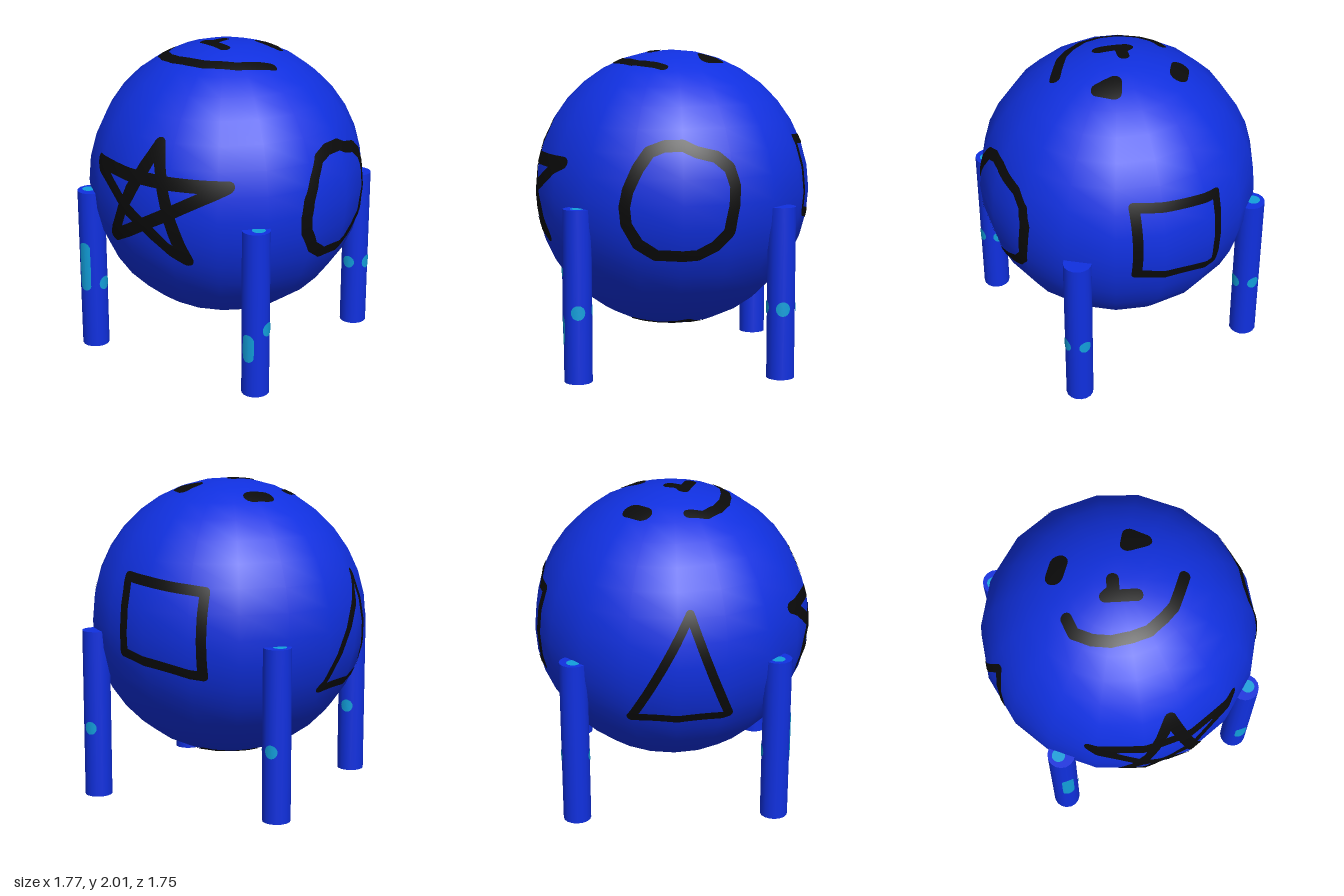
import * as THREE from 'three';
import { mergeGeometries } from 'three/addons/utils/BufferGeometryUtils.js';

const R = 0.885, CY = 1.115, SEG = 18;      // ball radius, centre height, divisions
const LEG_R = 0.087, LEG_H = 1.07, LEG_POS = 0.624;

const mat = (name, color) => {
  const m = new THREE.MeshStandardMaterial({ color });
  m.name = name;
  return m;
};

// Distance from the ball centre to its faceted surface along direction d
function surfaceDistance(d) {
  const dTheta = Math.PI / SEG, dPhi = (2 * Math.PI) / SEG;
  const i = Math.min(SEG - 1, Math.floor(Math.acos(THREE.MathUtils.clamp(d.y, -1, 1)) / dTheta));
  const mid = (Math.floor(Math.atan2(d.z, d.x) / dPhi) + 0.5) * dPhi;
  const c = R * Math.cos(dPhi / 2);
  const qa = c * Math.sin(i * dTheta), ya = R * Math.cos(i * dTheta);
  const qb = c * Math.sin((i + 1) * dTheta), yb = R * Math.cos((i + 1) * dTheta);
  const nq = ya - yb, ny = qb - qa;
  const dq = d.x * Math.cos(mid) + d.z * Math.sin(mid);
  return (nq * qa + ny * ya) / (nq * dq + ny * d.y);
}

// Flat brush stroke along a polyline, with round joints
function stroke(points, width, closed) {
  const pts = closed ? [...points, points[0]] : points;
  const parts = [];
  pts.forEach(([x, y], i) => {
    parts.push(new THREE.RingGeometry(0, width / 2, 16, 2).translate(x, y, 0));
    if (i === 0) return;
    const [px, py] = pts[i - 1];
    const len = Math.hypot(x - px, y - py);
    parts.push(new THREE.PlaneGeometry(len, width, Math.ceil(len / 0.02), 4)
      .rotateZ(Math.atan2(y - py, x - px))
      .translate((x + px) / 2, (y + py) / 2, 0));
  });
  return mergeGeometries(parts);
}

// Wrap a flat drawing onto the ball, seen along normal n with u to the right
function wrap(geo, n, u) {
  const N = new THREE.Vector3(...n), U = new THREE.Vector3(...u);
  const V = new THREE.Vector3().crossVectors(N, U);
  const pos = geo.attributes.position, nor = geo.attributes.normal;
  const d = new THREE.Vector3();
  for (let i = 0; i < pos.count; i++) {
    const a = pos.getX(i), b = pos.getY(i);
    d.set(0, 0, 0).addScaledVector(U, a).addScaledVector(V, b)
      .addScaledVector(N, Math.sqrt(Math.max(0, R * R - a * a - b * b))).normalize();
    nor.setXYZ(i, d.x, d.y, d.z);
    d.multiplyScalar(surfaceDistance(d) + 0.004);
    pos.setXYZ(i, d.x, d.y, d.z);
  }
  return geo;
}

// Rounded spot bent around a leg, facing angle a (0 = +z), stretched by half
function legSpot(a, y, radius, half) {
  const g = new THREE.RingGeometry(0, radius, 24, 4);
  const p = g.attributes.position, r = LEG_R + 0.003;
  for (let i = 0; i < p.count; i++) {
    const t = a + p.getX(i) / r, v = p.getY(i);
    const s = Math.abs(v) < 1e-6 ? 0 : Math.sign(v);
    p.setXYZ(i, Math.sin(t) * r, y + v + s * half, Math.cos(t) * r);
  }
  g.computeVertexNormals();
  return g;
}

export function createModel() {
  const root = new THREE.Group();
  const blue = mat('blue', 0x1030e0);
  const black = mat('black', 0x0b0b0b);
  const cyan = mat('cyan', 0x12a0dc);

  const add = (parent, name, geo, material) => {
    const m = new THREE.Mesh(geo, material);
    m.name = name;
    parent.add(m);
    return m;
  };

  // Ball body
  const body = new THREE.Group();
  body.name = 'body';
  body.position.y = CY;
  root.add(body);
  add(body, 'ball', new THREE.SphereGeometry(R, SEG, SEG), blue);

  // Drawings; fu and fv turn model coordinates into drawing coordinates
  const sides = {
    front: { n: [0, 0, 1], u: [1, 0, 0], fu: 1, fv: 1, off: CY },
    left: { n: [1, 0, 0], u: [0, 0, -1], fu: -1, fv: 1, off: CY },
    back: { n: [0, 0, -1], u: [-1, 0, 0], fu: -1, fv: 1, off: CY },
    right: { n: [-1, 0, 0], u: [0, 0, 1], fu: 1, fv: 1, off: CY },
    top: { n: [0, 1, 0], u: [1, 0, 0], fu: 1, fv: -1, off: 0 },
    bottom: { n: [0, -1, 0], u: [1, 0, 0], fu: 1, fv: 1, off: 0 },
  };
  const draw = (name, side, width, closed, points) => {
    const s = sides[side];
    const pts = points.map(([a, b]) => [a * s.fu, (b - s.off) * s.fv]);
    add(body, name, wrap(stroke(pts, width, closed), s.n, s.u), black);
  };

  draw('star', 'front', 0.08, true,
    [[0.035, 1.54], [-0.31, 0.885], [0.475, 1.33], [-0.455, 1.335], [0.245, 0.845]]);
  draw('circle', 'left', 0.07, true,
    [[0.35, 1.1], [0.34, 1.0], [0.27, 0.88], [0.16, 0.805], [-0.09, 0.805], [-0.2, 0.86],
      [-0.28, 0.95], [-0.31, 1.11], [-0.315, 1.22], [-0.28, 1.33], [-0.2, 1.4], [-0.08, 1.43],
      [0, 1.465], [0.11, 1.465], [0.2, 1.43], [0.27, 1.33], [0.33, 1.2]]);
  draw('square', 'back', 0.06, true,
    [[0.31, 1.455], [-0.235, 1.4], [-0.23, 0.89], [0.32, 0.99]]);
  draw('triangle', 'right', 0.055, true,
    [[0.075, 1.44], [-0.28, 0.76], [0.32, 0.76]]);
  draw('pentagon', 'bottom', 0.06, true,
    [[0.345, -0.07], [-0.01, -0.34], [-0.26, -0.19], [-0.2, 0.24], [0.23, 0.24]]);

  // Face on top
  draw('rightEye', 'top', 0.11, false, [[-0.34, -0.185], [-0.285, -0.255]]);
  draw('leftEye', 'top', 0.09, true, [[0.13, -0.2], [0.24, -0.2], [0.17, -0.27]]);
  draw('nose', 'top', 0.075, false, [[-0.035, -0.015], [-0.055, 0.05], [-0.11, 0.07], [-0.02, 0.1], [0.065, 0.125]]);
  draw('smile', 'top', 0.067, false,
    [[-0.365, 0.09], [-0.355, 0.19], [-0.27, 0.27], [-0.17, 0.32], [-0.05, 0.34],
      [0.06, 0.34], [0.17, 0.295], [0.25, 0.25], [0.31, 0.18], [0.385, 0.085]]);

  // Four legs with spots
  for (const sx of [-1, 1]) {
    for (const sz of [-1, 1]) {
      const leg = new THREE.Group();
      leg.name = (sz > 0 ? 'front' : 'back') + (sx > 0 ? 'Left' : 'Right') + 'Leg';
      leg.position.set(sx * LEG_POS, 0, sz * LEG_POS);
      root.add(leg);
      add(leg, 'post', new THREE.CylinderGeometry(LEG_R, LEG_R, LEG_H, 16).translate(0, LEG_H / 2, 0), blue);

      // Front spots are tall on the front legs
      const [y, half] = sz < 0 ? [0.45, 0] : sx < 0 ? [0.565, 0.125] : [0.325, 0.05];
      add(leg, 'frontSpot', legSpot(0, y, 0.042, half), cyan);
      add(leg, 'sideSpot', legSpot(Math.PI / 2, 0.445, 0.045, 0), cyan);
      add(leg, 'backSpot', legSpot(Math.PI, 0.45, 0.042, 0), cyan);

      // Spots on the ends
      add(leg, 'footSpot', new THREE.CircleGeometry(0.04, 20).rotateX(Math.PI / 2).translate(0, 0.0, 0), cyan)
        .position.y = -0.002;
      if (sx < 0 || sz > 0) {
        add(leg, 'topSpot', new THREE.CircleGeometry(0.042, 20).rotateX(-Math.PI / 2), cyan)
          .position.set(sx * 0.018, LEG_H + 0.002, 0);
      }
    }
  }
  return root;
}
